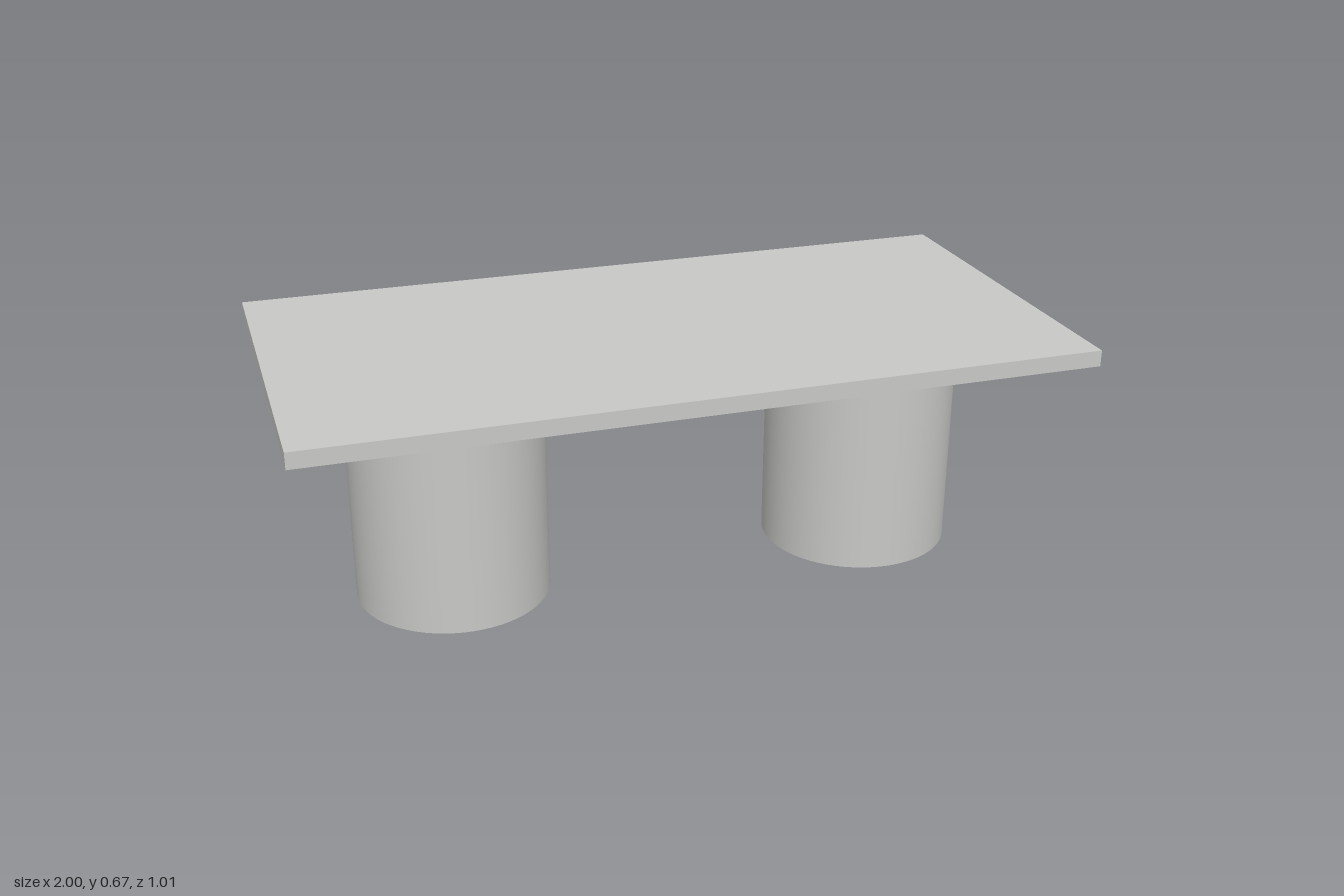
import * as THREE from 'three';

export function createModel() {
  const model = new THREE.Group();
  model.name = 'table';
  const stone = new THREE.MeshStandardMaterial({ name: 'pale grey', color: 0xc8c8c6 });

  const height = 0.665, topThickness = 0.042;
  const legHeight = height - topThickness;

  // Thin rectangular slab
  const top = new THREE.Mesh(new THREE.BoxGeometry(2, topThickness, 1.008), stone);
  top.name = 'tableTop';
  top.position.y = height - topThickness / 2;
  model.add(top);

  // Two drum legs, set slightly towards the left
  const legGeometry = new THREE.CylinderGeometry(0.254, 0.254, legHeight, 64);
  for (const [name, x] of [['rightLeg', -0.56], ['leftLeg', 0.58]]) {
    const leg = new THREE.Mesh(legGeometry, stone);
    leg.name = name;
    leg.position.set(x, legHeight / 2, 0);
    model.add(leg);
  }
  return model;
}
